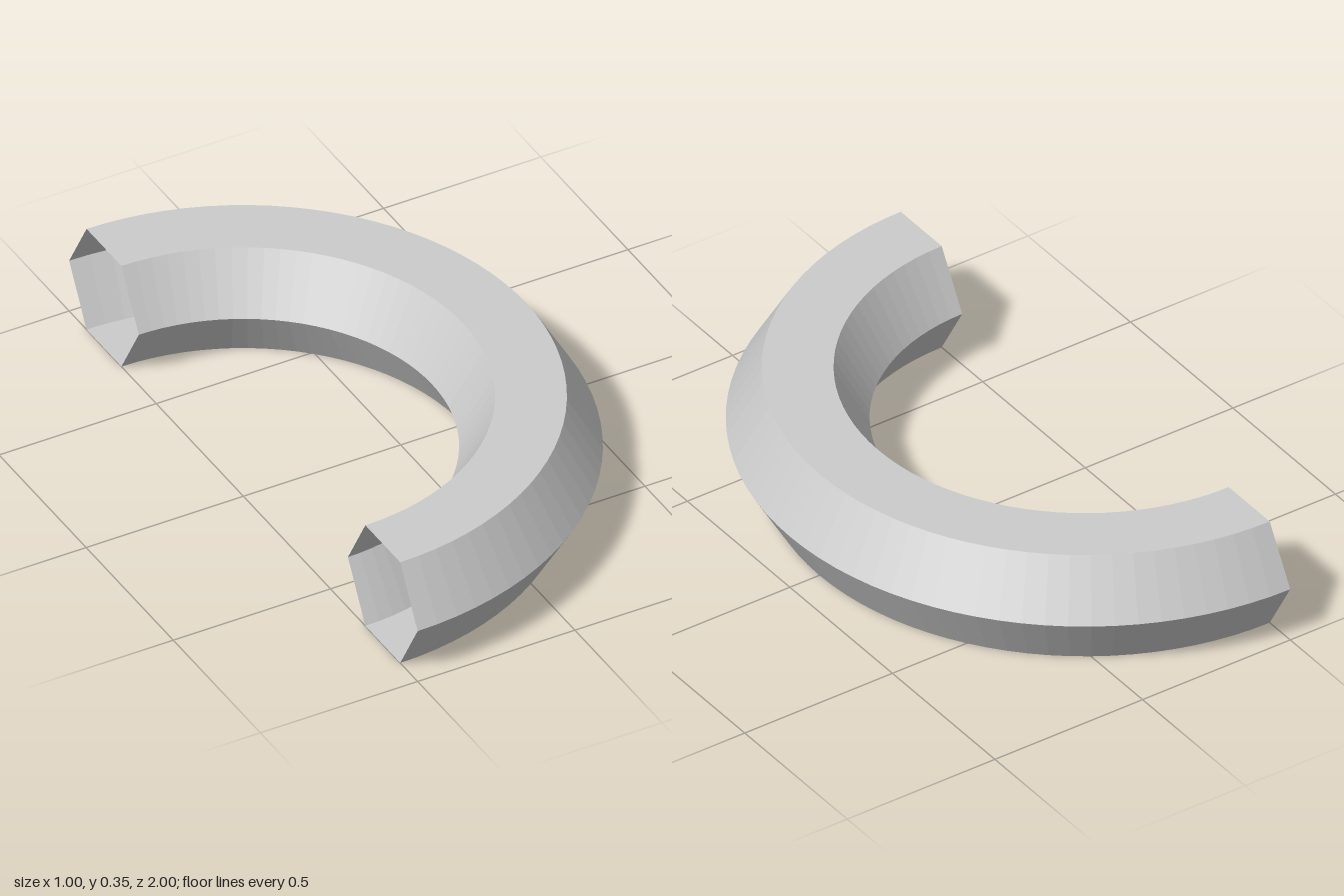
import * as THREE from 'three';

export function createModel() {
  const group = new THREE.Group();
  group.name = 'halfRing';

  const ringRadius = 0.8;
  const tubeRadius = 0.2;

  // Hollow half ring with a hexagonal section, open at both ends
  const geometry = new THREE.TorusGeometry(ringRadius, tubeRadius, 6, 48, Math.PI);
  geometry.rotateZ(-Math.PI / 2); // bulge towards +x
  geometry.rotateX(Math.PI / 2); // lay flat
  geometry.translate(-0.5, tubeRadius * Math.sin(Math.PI / 3), 0);

  const material = new THREE.MeshStandardMaterial({
    color: 0xcccccc,
    flatShading: true,
    side: THREE.DoubleSide,
  });
  const tube = new THREE.Mesh(geometry, material);
  tube.name = 'hexagonalTube';
  group.add(tube);

  return group;
}
